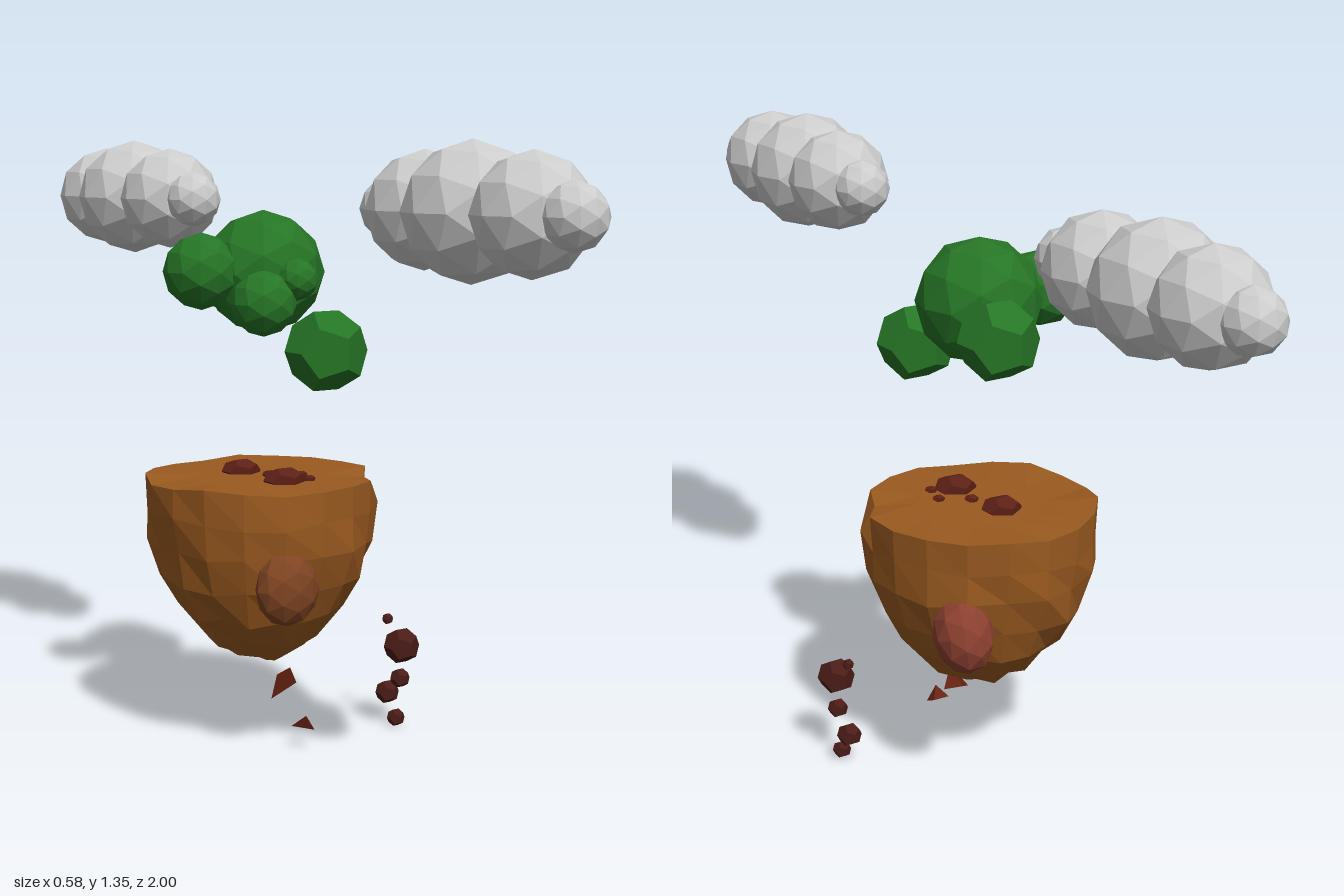
import * as THREE from 'three';
import { ConvexGeometry } from 'three/addons/geometries/ConvexGeometry.js';

const material = (color) => new THREE.MeshStandardMaterial({ color, flatShading: true });
const GREY = material(0xcccccc);
const EARTH = material(0x9a5a20);
const LEAF = material(0x267526);
const FRONT_ROCK = material(0x7f4422);
const SIDE_ROCK = material(0x8c4030);
const TOP_ROCK = material(0x5c2016);
const DEBRIS = material(0x4a1c18);
const SHARD = material(0x6a2414);

const ball = (r) => new THREE.IcosahedronGeometry(r, 1);
const gem = (r) => new THREE.DodecahedronGeometry(r);

function add(parent, name, geometry, mat, x = 0, y = 0, z = 0) {
  const mesh = new THREE.Mesh(geometry, mat);
  mesh.name = name;
  mesh.position.set(x, y, z);
  parent.add(mesh);
  return mesh;
}

function group(parent, name) {
  const g = new THREE.Group();
  g.name = name;
  parent.add(g);
  return g;
}

function seeded(seed) {
  return () => {
    seed = (seed * 16807) % 2147483647;
    return seed / 2147483647 - 0.5;
  };
}

// Rough bowl of earth: a lathe whose vertices are nudged, with a chipped rim
function islandGeometry() {
  const sides = 18;
  const profile = [
    [0, 0.18], [0.06, 0.195], [0.125, 0.24], [0.185, 0.305], [0.228, 0.38],
    [0.248, 0.46], [0.255, 0.53], [0.257, 0.605], [0.14, 0.603], [0, 0.603],
  ].map(([r, y]) => new THREE.Vector2(r, y));
  const geometry = new THREE.LatheGeometry(profile, sides);
  const pos = geometry.attributes.position;
  const rows = profile.length;
  const rim = rows - 3;
  const random = seeded(77);
  for (let j = 1; j < rim + 1; j++) {
    for (let i = 0; i < sides; i++) {
      let swell = 1 + random() * (j < rim - 1 ? 0.08 : 0.02);
      const lift = random() * (j === rim ? 0.016 : 0.022);
      if (i === 3 && j === rim) swell -= 0.1;
      if (i === 3 && j === rim - 1) swell += 0.04;
      // the first and last column share the seam
      for (const column of i === 0 ? [0, sides] : [i]) {
        const k = column * rows + j;
        pos.setXYZ(k, pos.getX(k) * swell, pos.getY(k) + lift, pos.getZ(k) * swell);
      }
    }
  }
  return geometry;
}

export function createModel() {
  const model = new THREE.Group();
  model.name = 'floatingIsland';

  // Island and the boulders embedded in it
  const island = group(model, 'island');
  add(island, 'earth', islandGeometry(), EARTH, -0.04, 0, -0.1);
  const front = add(island, 'frontBoulder', ball(0.08), FRONT_ROCK, -0.11, 0.395, 0.12);
  front.scale.set(0.95, 1.05, 0.65);
  const side = add(island, 'sideBoulder', ball(0.08), SIDE_ROCK, 0.12, 0.395, -0.275);
  side.scale.set(0.8, 1.08, 0.9);
  side.rotation.x = 0.3;

  // Stones lying on top: x, z, radius
  const stones = group(island, 'topStones');
  [[-0.04, 0, 0.048], [-0.055, -0.16, 0.045], [0.03, -0.04, 0.014], [0.015, 0.015, 0.014],
    [-0.03, -0.08, 0.016]].forEach(([x, z, r]) => {
    add(stones, 'topStone', gem(r), TOP_ROCK, x, 0.607, z).scale.y = 0.6;
  });

  // Foliage clumps hovering above: shape, radius, x, y, z
  const foliage = group(model, 'foliage');
  [[ball, 0.136, -0.035, 1.06, -0.095],
    [ball, 0.084, -0.19, 1.066, -0.1],
    [ball, 0.072, -0.1, 1.0, 0.01],
    [ball, 0.046, -0.03, 1.05, 0.035],
    [gem, 0.088, 0.01, 1.012, -0.235],
    [gem, 0.09, -0.035, 0.907, 0.155]].forEach(([shape, r, x, y, z]) => {
    add(foliage, 'leafClump', shape(r), LEAF, x, y, z);
  });

  // Two clouds, each a row of puffs: z offset, radius
  const puffs = [[-0.27, 0.065], [-0.163, 0.117], [-0.016, 0.136], [0.16, 0.117], [0.272, 0.064]];
  [['frontCloud', 0.665], ['backCloud', -0.665]].forEach(([name, z]) => {
    const cloud = group(model, name);
    cloud.position.set(-0.04, 1.212, z);
    puffs.forEach(([dz, r]) => add(cloud, 'puff', ball(r), GREY, 0, 0, dz));
  });

  // Falling pebbles: y, z, radius
  const pebbles = group(model, 'fallingPebbles');
  [[0.25, -0.01, 0.013], [0.198, 0.045, 0.042], [0.12, 0.04, 0.023],
    [0.075, -0.01, 0.028], [0.022, 0.025, 0.021]].forEach(([y, z, r]) => {
    add(pebbles, 'pebble', gem(r), DEBRIS, 0.25, y, z);
  });

  // Sharp splinters under the island
  const shards = group(model, 'fallingShards');
  [[[-0.07, 0.11, -0.01], [0.01, 0.13, -0.03], [-0.02, 0.175, -0.01], [-0.02, 0.145, -0.065]],
    [[-0.055, 0.06, 0.05], [-0.01, 0.05, 0.075], [-0.035, 0.085, 0.075], [-0.005, 0.07, 0.035]],
  ].forEach((corners) => {
    add(shards, 'shard', new ConvexGeometry(corners.map((c) => new THREE.Vector3(...c))), SHARD);
  });

  return model;
}
